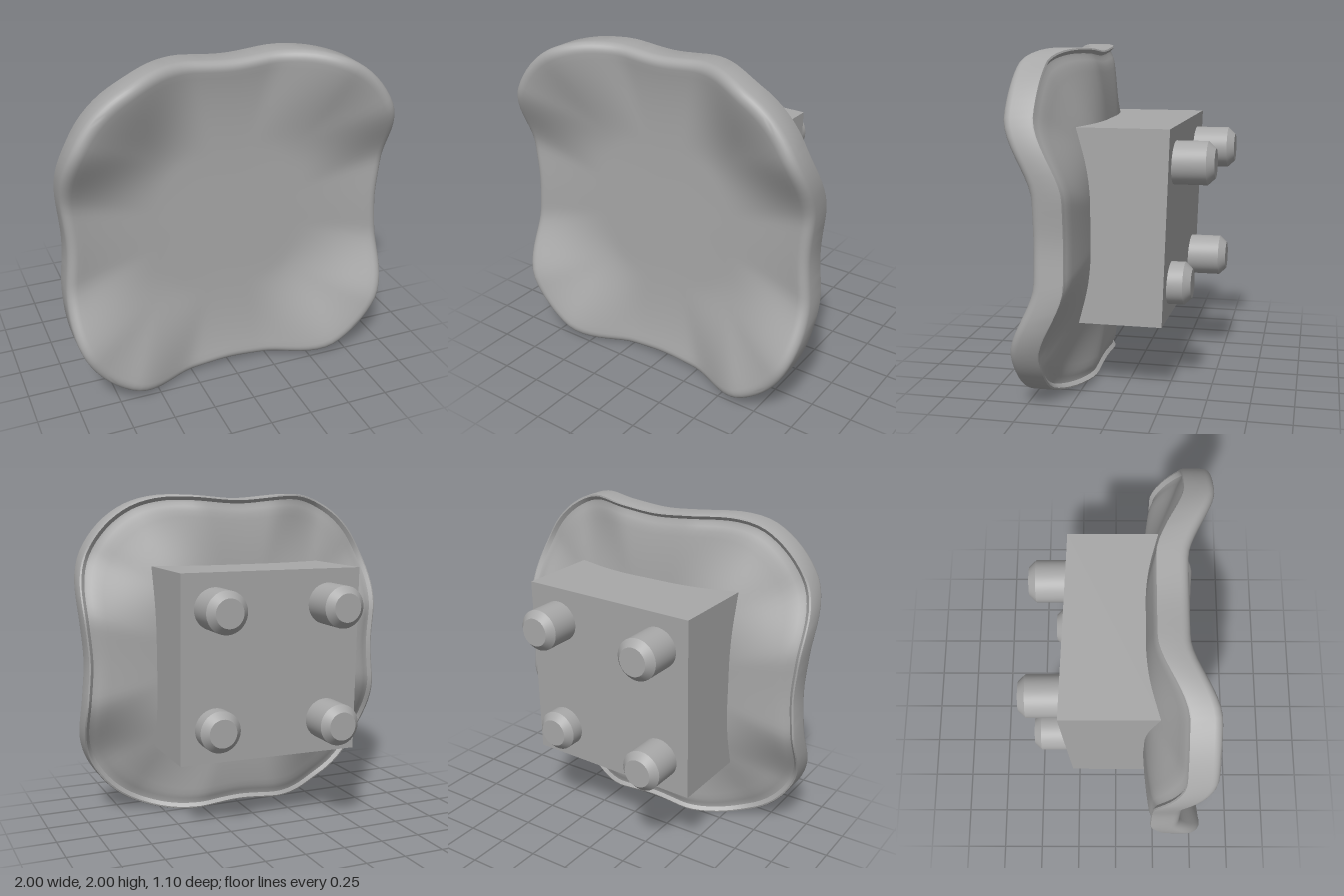
import * as THREE from 'three';
import { toCreasedNormals } from 'three/addons/utils/BufferGeometryUtils.js';

const { smoothstep } = THREE.MathUtils;
const DEG = Math.PI / 180;

// Angle away from the nearest axis, 0 to 45 degrees
function foldAngle(theta) {
  const q = Math.PI / 2;
  const t = ((theta % q) + q) % q;
  return Math.min(t, q - t);
}

// Rounded square outline, slightly pinched at the middle of each side
function outline(theta) {
  const f = foldAngle(theta), c = 0.4, r = 0.6;
  const d = c * (Math.cos(f) + Math.sin(f));
  const R = Math.tan(f) <= c ? 1 / Math.cos(f) : d + Math.sqrt(d * d - 2 * c * c + r * r);
  return R * (1 - 0.025 * (1 - smoothstep(f / DEG, 0, 21)));
}

// Back surface: shallow ridges on the axes, four lobes bending forward
function surface(rho, theta) {
  const hi = 36 + 9 * Math.min(1, (1 - rho) * 2);
  const lobe = smoothstep(foldAngle(theta) / DEG, 13, hi);
  return 0.16 + 0.06 * rho ** 4 + 0.16 * lobe * smoothstep(rho, 0.42, 1);
}

// Closed shell lofted from the front centre, over the rim, to the back centre
function plateGeometry() {
  const profile = [];
  for (let i = 0; i <= 26; i++) profile.push([0.94 * i / 26, 0.175]);
  for (let i = 1; i <= 8; i++) {
    const a = i / 8 * Math.PI / 2;
    profile.push([0.94 + 0.06 * Math.sin(a), 0.115 + 0.06 * Math.cos(a)]);
  }
  profile.push([1, 0], [0.997, -0.008], [0.988, -0.01], [0.978, 0], [0.967, 0.012], [0.952, 0.012], [0.93, 0.005]);
  for (let i = 25; i >= 0; i--) profile.push([0.9 * i / 25, 0]);

  const N = 144, pos = [], index = [], last = profile.length - 2;
  profile.forEach(([rho, dz], i) => {
    for (let j = 0; j < N; j++) {
      const t = j / N * Math.PI * 2, R = rho * outline(t);
      pos.push(R * Math.cos(t), 1 + R * Math.sin(t), surface(rho, t) + dz);
    }
    if (i > last) return;
    for (let j = 0; j < N; j++) {
      const k = (j + 1) % N, a = i * N + j, b = i * N + k, c = a + N, d = b + N;
      if (i < last) index.push(a, c, d);
      if (i > 0) index.push(a, d, b);
    }
  });
  const g = new THREE.BufferGeometry();
  g.setAttribute('position', new THREE.Float32BufferAttribute(pos, 3));
  g.setIndex(index);
  return toCreasedNormals(g, 40 * DEG);
}

// Block whose back face leans slightly in x and y
function blockGeometry() {
  const g = new THREE.BoxGeometry(1.125, 1.13, 1).toNonIndexed();
  const p = g.attributes.position;
  for (let i = 0; i < p.count; i++) {
    const x = p.getX(i), y = p.getY(i);
    p.setZ(i, p.getZ(i) > 0 ? 0.25 : -0.281 + 0.031 * x - 0.037 * y);
  }
  g.computeVertexNormals();
  return g;
}

// Chamfered peg pointing backwards, ending at the given z
function pegGeometry(end) {
  const r = 0.125, len = -0.2 - end;
  const pts = [[0, 0], [r, 0], [r, len - 0.043], [0.085, len], [0, len]];
  const g = new THREE.LatheGeometry(pts.map(([x, y]) => new THREE.Vector2(x, y)), 48);
  g.rotateX(-Math.PI / 2);
  return toCreasedNormals(g, 30 * DEG);
}

export function createModel() {
  const group = new THREE.Group();
  const grey = new THREE.MeshStandardMaterial({ color: 0xa8a8a8 });
  grey.name = 'grey';
  const add = (name, geometry, x = 0, y = 0, z = 0) => {
    const mesh = new THREE.Mesh(geometry, grey);
    mesh.name = name;
    mesh.position.set(x, y, z);
    group.add(mesh);
  };

  add('wavyPlate', plateGeometry());
  add('mountingBlock', blockGeometry(), 0, 1.005, 0);

  // Pegs: name, x, y, end z
  [
    ['upperRightPeg', -0.357, 1.36, -0.555],
    ['upperLeftPeg', 0.358, 1.36, -0.515],
    ['lowerRightPeg', -0.36, 0.65, -0.512],
    ['lowerLeftPeg', 0.35, 0.65, -0.388],
  ].forEach(([name, x, y, end]) => add(name, pegGeometry(end), x, y, -0.2));

  return group;
}
